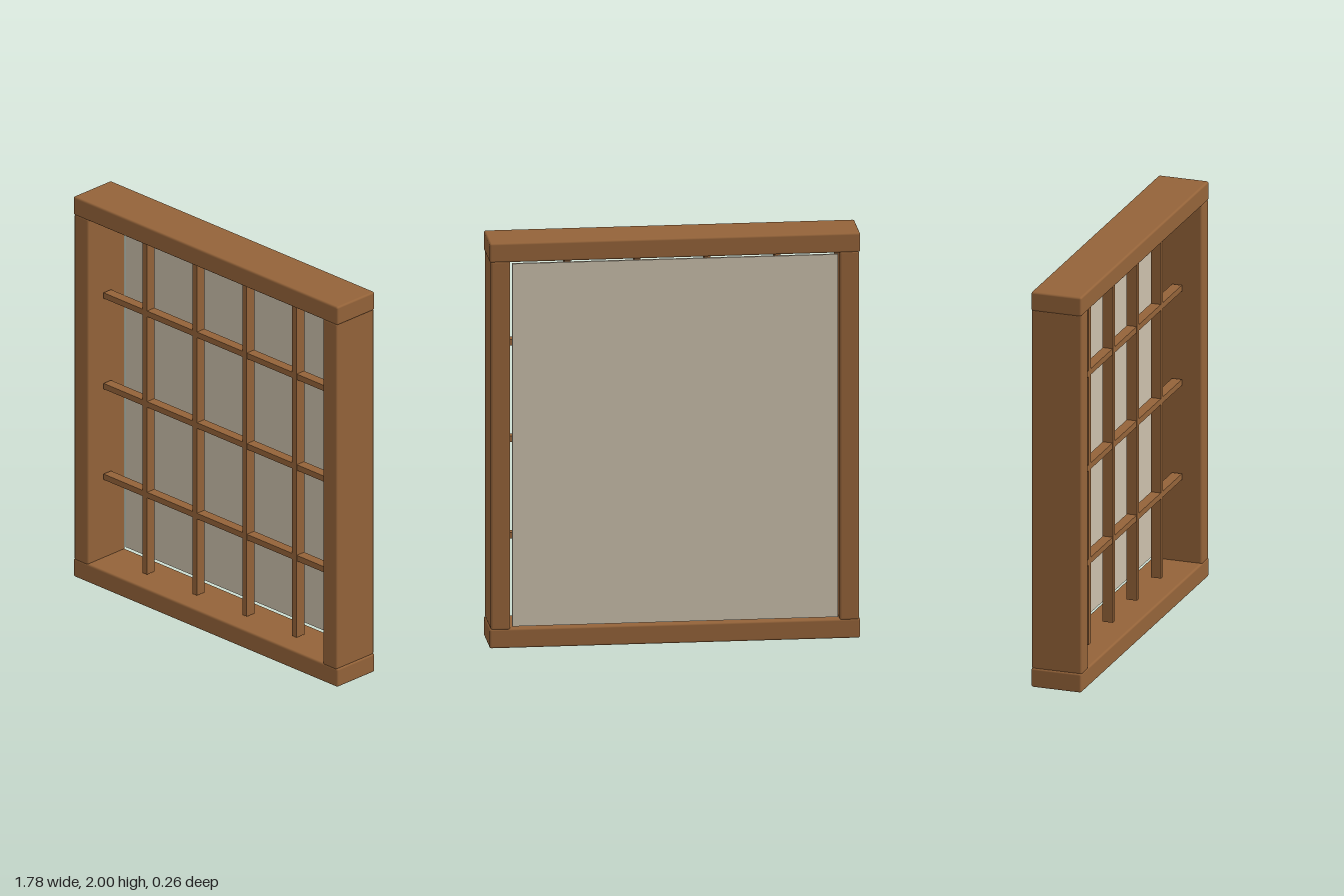
import * as THREE from 'three';
import { RoundedBoxGeometry } from 'three/addons/geometries/RoundedBoxGeometry.js';

export function createModel() {
  const group = new THREE.Group();
  group.name = 'latticeWindow';

  const wood = new THREE.MeshStandardMaterial({ color: 0x946339 });
  wood.name = 'wood';
  const paper = new THREE.MeshStandardMaterial({ color: 0xcabfab });
  paper.name = 'paper';

  const add = (name, geometry, material, x, y, z) => {
    const mesh = new THREE.Mesh(geometry, material);
    mesh.name = name;
    mesh.position.set(x, y, z);
    group.add(mesh);
  };

  // Outer frame: softly rounded rails and stiles
  const depth = 0.255, frameZ = 0.003;
  const rail = new RoundedBoxGeometry(1.78, 0.096, depth, 2, 0.01);
  add('bottomRail', rail, wood, 0, 0.048, frameZ);
  add('topRail', rail, wood, 0, 1.952, frameZ);
  const stile = new RoundedBoxGeometry(0.093, 1.82, depth, 2, 0.01);
  add('leftStile', stile, wood, 0.8375, 1, frameZ);
  add('rightStile', stile, wood, -0.8375, 1, frameZ);

  // Lattice bars, standing free in the middle of the frame
  const midY = 1.004;
  const upright = new THREE.BoxGeometry(0.03, 1.79, 0.052);
  for (const x of [-0.504, -0.168, 0.168, 0.504]) add('verticalBar', upright, wood, x, midY, 0.007);
  const cross = new THREE.BoxGeometry(1.564, 0.03, 0.05);
  for (const dy of [-0.477, 0, 0.477]) add('horizontalBar', cross, wood, 0, midY + dy, 0.007);

  // Paper pane set into the back
  add('paperPane', new THREE.BoxGeometry(1.564, 1.79, 0.015), paper, 0, midY, -0.1235);

  return group;
}
